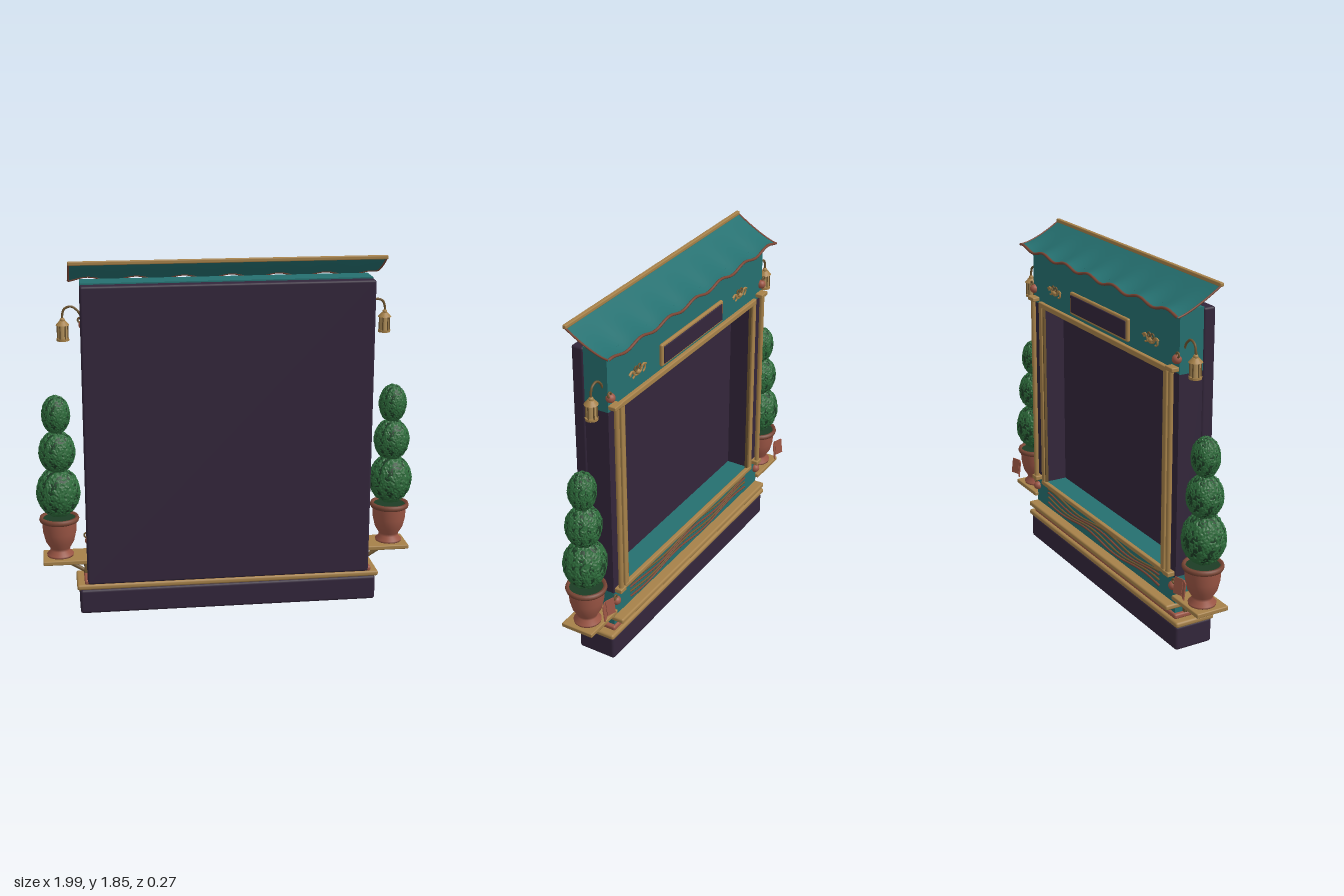
import * as THREE from 'three';
import { RoundedBoxGeometry } from 'three/addons/geometries/RoundedBoxGeometry.js';

const mat = (name, color, extra = {}) => new THREE.MeshStandardMaterial({ name, color, ...extra });

export function createModel() {
  const M = {
    plum: mat('plum', 0x33263b),
    teal: mat('teal', 0x257070),
    awning: mat('awning teal', 0x257070, { side: THREE.DoubleSide }),
    gold: mat('gold', 0xa68149),
    bronze: mat('bronze', 0x6e5530),
    copper: mat('copper', 0x7a4635),
    terracotta: mat('terracotta', 0x9c5645, { side: THREE.DoubleSide }),
    leaf: mat('leaf green', 0x2d6a3a, { flatShading: true }),
    shade: mat('dark green', 0x1c3d25),
    glass: mat('lantern glass', 0xb5935c),
  };
  const root = new THREE.Group();
  root.name = 'kiosk';

  const add = (name, geo, m, parent = root, x = 0, y = 0, z = 0) => {
    const mesh = new THREE.Mesh(geo, m);
    mesh.name = name;
    mesh.position.set(x, y, z);
    parent.add(mesh);
    return mesh;
  };
  // Box given by its min and max on each axis, optionally rounded
  const block = (name, m, x0, x1, y0, y1, z0, z1, r = 0, parent = root) => {
    const s = [x1 - x0, y1 - y0, z1 - z0];
    const g = r ? new RoundedBoxGeometry(...s, 3, r) : new THREE.BoxGeometry(...s);
    return add(name, g, m, parent, (x0 + x1) / 2, (y0 + y1) / 2, (z0 + z1) / 2);
  };
  const tube = (name, m, pts, r, parent = root, seg = 24) =>
    add(name, new THREE.TubeGeometry(
      new THREE.CatmullRomCurve3(pts.map(p => new THREE.Vector3(...p))), seg, r, 8), m, parent);
  const lathe = (name, m, pts, parent, x, y, z, seg = 32) =>
    add(name, new THREE.LatheGeometry(pts.map(p => new THREE.Vector2(...p)), seg), m, parent, x, y, z);

  // Plinth and stepped mouldings
  block('plinth', M.plum, -0.785, 0.785, 0, 0.132, -0.08, 0.13, 0.015);
  block('baseMoulding', M.gold, -0.8, 0.8, 0.132, 0.162, -0.088, 0.133, 0.012);
  block('copperStep', M.terracotta, -0.76, 0.76, 0.16, 0.187, -0.072, 0.128, 0.01);
  block('counterLedge', M.gold, -0.745, 0.745, 0.212, 0.24, -0.115, 0.07, 0.01);

  // Main body around the open recess
  block('flatPanel', M.plum, -0.745, 0.745, 0.162, 1.73, 0.068, 0.133, 0.012);
  block('lowerPanel', M.teal, -0.74, 0.74, 0.18, 0.385, -0.06, 0.07);
  block('header', M.teal, -0.74, 0.74, 1.425, 1.735, -0.06, 0.07);
  for (const s of [-1, 1])
    block('sidePost', M.plum, s * 0.69 - 0.05, s * 0.69 + 0.05, 0.38, 1.43, -0.06, 0.07);

  // Gilded frame round the opening
  for (const s of [-1, 1]) {
    block('frameUpright', M.gold, s * 0.64 - 0.016, s * 0.64 + 0.016, 0.37, 1.445, -0.078, -0.055, 0.006);
    block('frameInnerBead', M.bronze, s * 0.62 - 0.006, s * 0.62 + 0.006, 0.39, 1.42, -0.07, -0.055);
  }
  block('frameTop', M.gold, -0.655, 0.655, 1.415, 1.445, -0.08, -0.055, 0.006);
  block('frameBottom', M.gold, -0.655, 0.655, 0.37, 0.395, -0.08, -0.055, 0.006);

  // Name board left blank
  block('boardRim', M.gold, -0.295, 0.295, 1.465, 1.585, -0.078, -0.058, 0.009);
  block('boardFace', M.plum, -0.28, 0.28, 1.479, 1.571, -0.083, -0.074, 0.004);

  // Waving strands on the lower panel
  for (let k = 0; k < 4; k++) {
    const pts = [];
    for (let i = 0; i <= 24; i++) {
      const t = i / 24;
      pts.push([-0.6 + 1.2 * t, 0.275 + k * 0.023 + 0.013 * Math.sin(t * Math.PI * 4 + k * 0.7), -0.064]);
    }
    tube('waveStrand', k % 2 ? M.bronze : M.copper, pts, 0.0055, root, 72);
  }

  // Awning sheet, sagging in section with a rippled hem
  const W = 0.795;
  const cloth = (x, t) => [x,
    1.842 - 0.113 * (1 - Math.pow(1 - t, 1.4)) + 0.011 * t * t * Math.sin((x / W) * Math.PI * 6.5 + 0.6),
    0.127 - 0.235 * t];
  const sheet = new THREE.PlaneGeometry(1, 1, 96, 12);
  const p = sheet.attributes.position;
  for (let i = 0; i < p.count; i++)
    p.setXYZ(i, ...cloth(p.getX(i) * 2 * W, p.getY(i) + 0.5));
  sheet.computeVertexNormals();
  add('awning', sheet, M.awning);
  const steps = n => Array.from({ length: n + 1 }, (_, i) => i / n);
  tube('awningHem', M.copper, steps(64).map(t => cloth(-W + 2 * W * t, 1)), 0.007, root, 128);
  for (const s of [-1, 1])
    tube('awningSideTrim', M.copper, steps(8).map(t => cloth(s * W, t)), 0.005);
  block('awningRail', M.gold, -0.8, 0.8, 1.834, 1.854, 0.115, 0.136, 0.005);

  // Foliage ball: rough leaf shell breaking through a dark core
  const shell = new THREE.IcosahedronGeometry(1, 15);
  const q = shell.attributes.position;
  const v = new THREE.Vector3();
  for (let i = 0; i < q.count; i++) {
    v.fromBufferAttribute(q, i);
    const [a, b, c] = v.toArray().map(n => Math.round(n * 1000) / 1000);
    const h = Math.sin(a * 127.1 + b * 311.7 + c * 74.7) * 43758.5453;
    const patch = Math.sin(a * 13 + 1) * Math.sin(b * 12 + 2) + Math.sin(c * 14 + a * 5);
    v.multiplyScalar(0.995 + 0.055 * (h - Math.floor(h) - 0.5) + 0.013 * patch);
    q.setXYZ(i, v.x, v.y, v.z);
  }
  shell.computeVertexNormals();
  const core = new THREE.SphereGeometry(0.982, 32, 24);

  // Everything that stands on both sides, built for +x or -x
  const sideSet = s => {
    const g = new THREE.Group();
    g.name = s > 0 ? 'leftSide' : 'rightSide';
    root.add(g);
    const span = (name, m, x0, x1, ...rest) =>
      block(name, m, Math.min(s * x0, s * x1), Math.max(s * x0, s * x1), ...rest, g);

    // Slim column with cap and foot
    add('column', new THREE.CylinderGeometry(0.013, 0.013, 1.05, 16), M.gold, g, s * 0.705, 0.925, -0.083);
    span('columnCap', M.gold, 0.675, 0.738, 1.44, 1.462, -0.1, -0.05, 0.005);
    span('columnFoot', M.gold, 0.68, 0.73, 0.385, 0.41, -0.1, -0.05, 0.005);
    for (const y of [1.5, 0.335])
      add('cornerKnob', new THREE.SphereGeometry(0.024, 16, 12), M.terracotta, g, s * 0.725, y, -0.065);
    for (const y of [1.525, 0.365])
      add('cornerRing', new THREE.TorusGeometry(0.012, 0.005, 8, 16), M.bronze, g, s * 0.74, y, -0.07);

    // Planter shelf with strut
    span('planterShelf', M.gold, 0.735, 0.97, 0.265, 0.289, -0.08, 0.1, 0.006);
    tube('shelfStrut', M.bronze, [[s * 0.735, 0.185, 0.005], [s * 0.8, 0.225, 0.005], [s * 0.87, 0.268, 0.005]], 0.011, g);
    span('strutPlate', M.bronze, 0.735, 0.758, 0.185, 0.265, -0.015, 0.025, 0.004);

    // Pot, soil and clipped tree
    const px = s * 0.88, pz = 0.005;
    lathe('pot', M.terracotta, [[0, 0.289], [0.068, 0.289], [0.07, 0.3], [0.05, 0.32], [0.053, 0.335],
      [0.074, 0.37], [0.086, 0.42], [0.09, 0.478]], g, px, 0, pz);
    lathe('potRim', M.copper, [[0.088, 0.475], [0.1, 0.481], [0.104, 0.492], [0.1, 0.504], [0.088, 0.506], [0.082, 0.49]], g, px, 0, pz);
    add('soil', new THREE.CylinderGeometry(0.087, 0.087, 0.01, 24), M.shade, g, px, 0.49, pz);
    for (const [y, r, ry] of [[0.638, 0.113, 0.133], [0.855, 0.094, 0.112], [1.052, 0.073, 0.102]]) {
      add('foliage', shell, M.leaf, g, px, y, pz).scale.set(r, ry, r * 0.95);
      add('foliageCore', core, M.shade, g, px, y, pz).scale.set(r, ry, r * 0.95);
    }
    // Pair of folded plates hung on the pot
    for (const k of [-1, 1]) {
      const plate = add('potPlate', new THREE.BoxGeometry(0.048, 0.085, 0.006), M.terracotta, g, px + k * 0.025, 0.402, -0.118);
      plate.rotation.set(0.12, k * 0.4, 0);
    }

    // Lantern on a swan-neck arm
    const lx = s * 0.83, lz = -0.03;
    tube('lanternArm', M.bronze, [[s * 0.735, 1.55, lz], [s * 0.752, 1.58, lz], [s * 0.785, 1.603, lz],
      [s * 0.818, 1.592, lz], [lx, 1.56, lz], [lx, 1.53, lz]], 0.006, g);
    add('lanternBase', new THREE.CylinderGeometry(0.032, 0.032, 0.012, 16), M.gold, g, lx, 1.435, lz);
    add('lanternGlass', new THREE.CylinderGeometry(0.024, 0.024, 0.07, 16), M.glass, g, lx, 1.475, lz);
    add('lanternRoof', new THREE.CylinderGeometry(0.016, 0.035, 0.022, 16), M.gold, g, lx, 1.52, lz);
    add('lanternCap', new THREE.SphereGeometry(0.013, 12, 8), M.gold, g, lx, 1.535, lz);
    for (let i = 0; i < 6; i++) {
      const a = i * Math.PI / 3;
      add('lanternBar', new THREE.CylinderGeometry(0.004, 0.004, 0.075, 6), M.bronze, g,
        lx + 0.026 * Math.cos(a), 1.475, lz + 0.026 * Math.sin(a));
    }

    // Scrollwork on the header
    const sx = s * 0.49, sz = -0.063;
    for (const k of [-1, 1]) {
      add('scrollCurl', new THREE.TorusGeometry(0.018, 0.005, 6, 20, 5), M.gold, g, sx + k * 0.045, 1.53, sz);
      add('scrollLoop', new THREE.TorusGeometry(0.012, 0.004, 6, 16), M.bronze, g, sx + k * 0.016, 1.552, sz);
      tube('scrollStem', M.gold, [[sx, 1.515, sz], [sx + k * 0.025, 1.522, sz], [sx + k * 0.05, 1.55, sz], [sx + k * 0.075, 1.54, sz]], 0.005, g);
    }
    add('scrollBoss', new THREE.SphereGeometry(0.014, 12, 8), M.gold, g, sx, 1.53, sz);
  };
  sideSet(1);
  sideSet(-1);
  return root;
}
